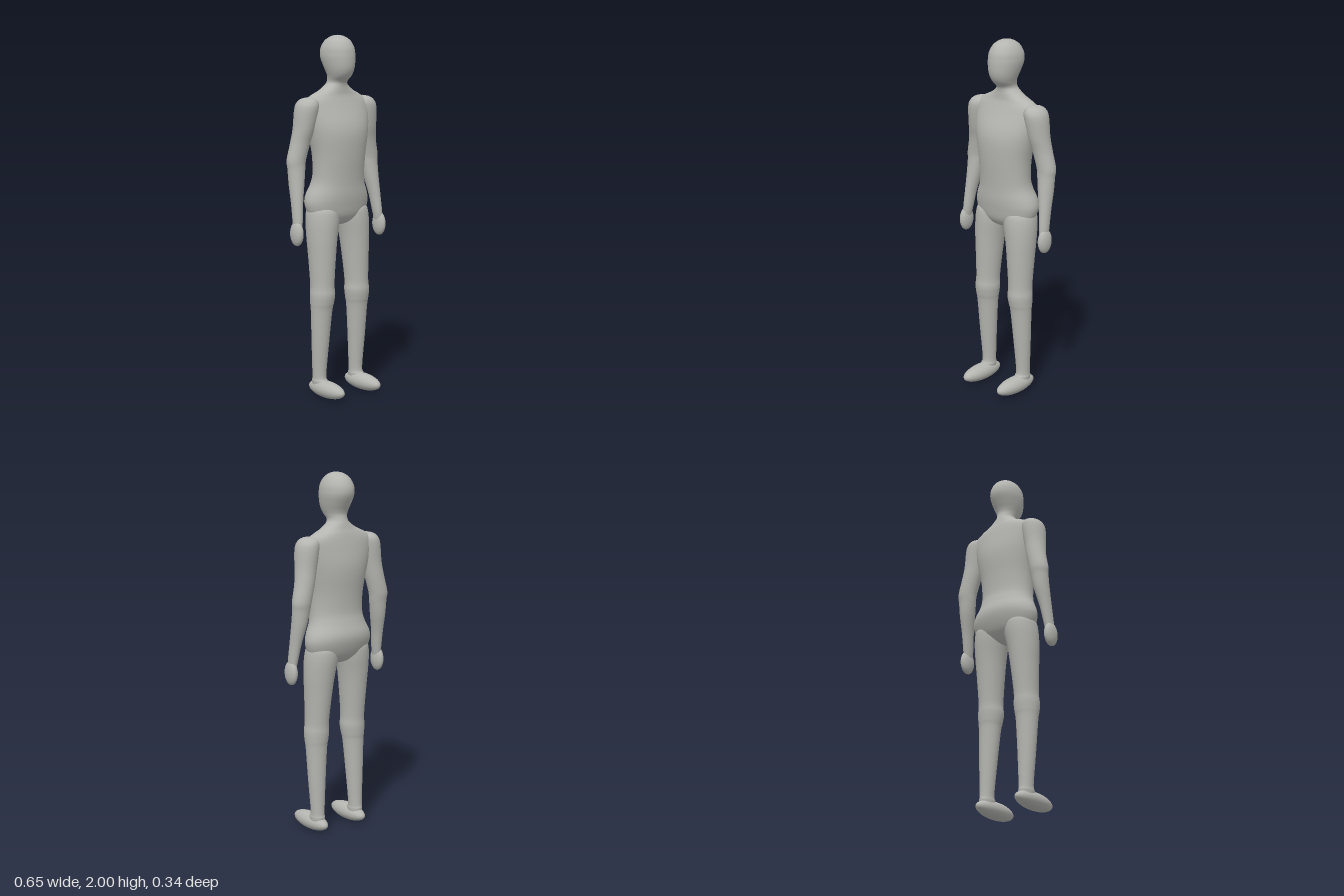
import * as THREE from 'three';

const skin = new THREE.MeshStandardMaterial({ color: 0xb4b4b0 });
skin.name = 'matte grey';

// Smooth loft through horizontal elliptical sections, listed from bottom to top:
// [y, centre x, half width, front z, back z]. "power" above 2 squares the ellipse.
function loft(sections, { side = 1, steps = 5, segments = 56, power = 2 } = {}) {
  const centres = new THREE.CatmullRomCurve3(
    sections.map(([y, cx, , f, b]) => new THREE.Vector3(cx * side, y, (f + b) / 2)), false, 'catmullrom');
  const radii = new THREE.CatmullRomCurve3(
    sections.map(([, , rx, f, b]) => new THREE.Vector3(rx, 0, (f - b) / 2)), false, 'catmullrom');
  const rows = (sections.length - 1) * steps;
  const round = (v) => Math.sign(v) * Math.abs(v) ** (2 / power);
  const positions = [], index = [];
  for (let i = 0; i <= rows; i++) {
    const c = centres.getPoint(i / rows), r = radii.getPoint(i / rows);
    for (let j = 0; j < segments; j++) {
      const a = (j / segments) * Math.PI * 2;
      positions.push(
        c.x + Math.max(r.x, 0) * round(Math.cos(a)), c.y,
        c.z + Math.max(r.z, 0) * round(Math.sin(a)));
      if (i === rows) continue;
      const p = i * segments + j, q = i * segments + (j + 1) % segments;
      index.push(p, p + segments, q, q, p + segments, q + segments);
    }
  }
  const geometry = new THREE.BufferGeometry();
  geometry.setAttribute('position', new THREE.Float32BufferAttribute(positions, 3));
  geometry.setIndex(index);
  geometry.computeVertexNormals();
  return geometry;
}

function ellipsoid(rx, ry, rz) {
  return new THREE.SphereGeometry(1, 40, 28).scale(rx, ry, rz);
}

function add(parent, name, geometry, x = 0, y = 0, z = 0) {
  const mesh = new THREE.Mesh(geometry, skin);
  mesh.name = name;
  mesh.position.set(x, y, z);
  parent.add(mesh);
}

// Pelvis, waist, chest, shoulders, neck and head as one continuous surface
const trunk = [
  [0.955, 0, 0, -0.04, -0.04],
  [0.965, 0, 0.06, 0.0, -0.08],
  [0.985, 0, 0.13, 0.03, -0.11],
  [1.02, 0, 0.183, 0.052, -0.138],
  [1.08, 0, 0.205, 0.064, -0.162],
  [1.13, 0, 0.197, 0.07, -0.167],
  [1.19, 0, 0.17, 0.072, -0.15],
  [1.25, 0, 0.161, 0.076, -0.137],
  [1.35, 0, 0.166, 0.084, -0.14],
  [1.45, 0, 0.185, 0.086, -0.149],
  [1.52, 0, 0.2, 0.073, -0.149],
  [1.6, 0, 0.215, 0.04, -0.138],
  [1.645, 0, 0.21, 0.022, -0.13],
  [1.675, 0, 0.165, 0.012, -0.123],
  [1.7, 0, 0.11, 0.01, -0.115],
  [1.73, 0, 0.065, 0.01, -0.107],
  [1.75, 0, 0.054, 0.018, -0.1],
  [1.775, 0, 0.06, 0.045, -0.095],
  [1.8, 0, 0.069, 0.06, -0.102],
  [1.83, 0, 0.078, 0.068, -0.118],
  [1.87, 0, 0.086, 0.07, -0.138],
  [1.9, 0, 0.087, 0.068, -0.144],
  [1.934, 0, 0.082, 0.061, -0.138],
  [1.971, 0, 0.062, 0.038, -0.114],
  [1.994, 0, 0.03, 0.0, -0.074],
  [2.0, 0, 0, -0.037, -0.037],
];

// Thigh, knee and shin
const leg = [
  [0.04, 0.133, 0.035, 0.0, -0.075],
  [0.085, 0.133, 0.04, 0.015, -0.085],
  [0.12, 0.133, 0.038, 0.002, -0.08],
  [0.3, 0.132, 0.049, 0.018, -0.08],
  [0.48, 0.129, 0.06, 0.035, -0.082],
  [0.53, 0.127, 0.066, 0.045, -0.087],
  [0.58, 0.125, 0.07, 0.052, -0.091],
  [0.64, 0.124, 0.066, 0.048, -0.092],
  [0.8, 0.12, 0.076, 0.052, -0.11],
  [0.9, 0.116, 0.085, 0.055, -0.123],
  [1.0, 0.106, 0.094, 0.055, -0.136],
  [1.06, 0.1, 0.085, 0.04, -0.13],
  [1.1, 0.1, 0.03, -0.02, -0.08],
];

// Wrist, forearm, elbow, upper arm and rounded shoulder
const arm = [
  [0.94, 0.295, 0.02, 0.0, -0.05],
  [1.0, 0.289, 0.025, 0.002, -0.062],
  [1.1, 0.281, 0.031, -0.008, -0.082],
  [1.2, 0.27, 0.042, -0.018, -0.107],
  [1.28, 0.263, 0.05, -0.026, -0.118],
  [1.33, 0.26, 0.055, -0.026, -0.125],
  [1.42, 0.238, 0.056, -0.016, -0.123],
  [1.5, 0.222, 0.059, 0.004, -0.12],
  [1.6, 0.208, 0.064, 0.02, -0.123],
  [1.64, 0.2, 0.056, 0.013, -0.115],
  [1.66, 0.195, 0.034, -0.01, -0.09],
  [1.668, 0.19, 0, -0.05, -0.05],
];

export function createModel() {
  const figure = new THREE.Group();
  figure.name = 'mannequin';
  add(figure, 'torsoAndHead', loft(trunk, { power: 2.1 }));

  for (const side of [1, -1]) {
    const prefix = side > 0 ? 'left' : 'right';
    add(figure, prefix + 'Leg', loft(leg, { side }));
    add(figure, prefix + 'Foot', ellipsoid(0.051, 0.047, 0.144), side * 0.132, 0.047, 0.024);
    add(figure, prefix + 'Arm', loft(arm, { side }));
    add(figure, prefix + 'Hand', ellipsoid(0.028, 0.068, 0.048), side * 0.298, 0.935, -0.026);
  }
  return figure;
}
